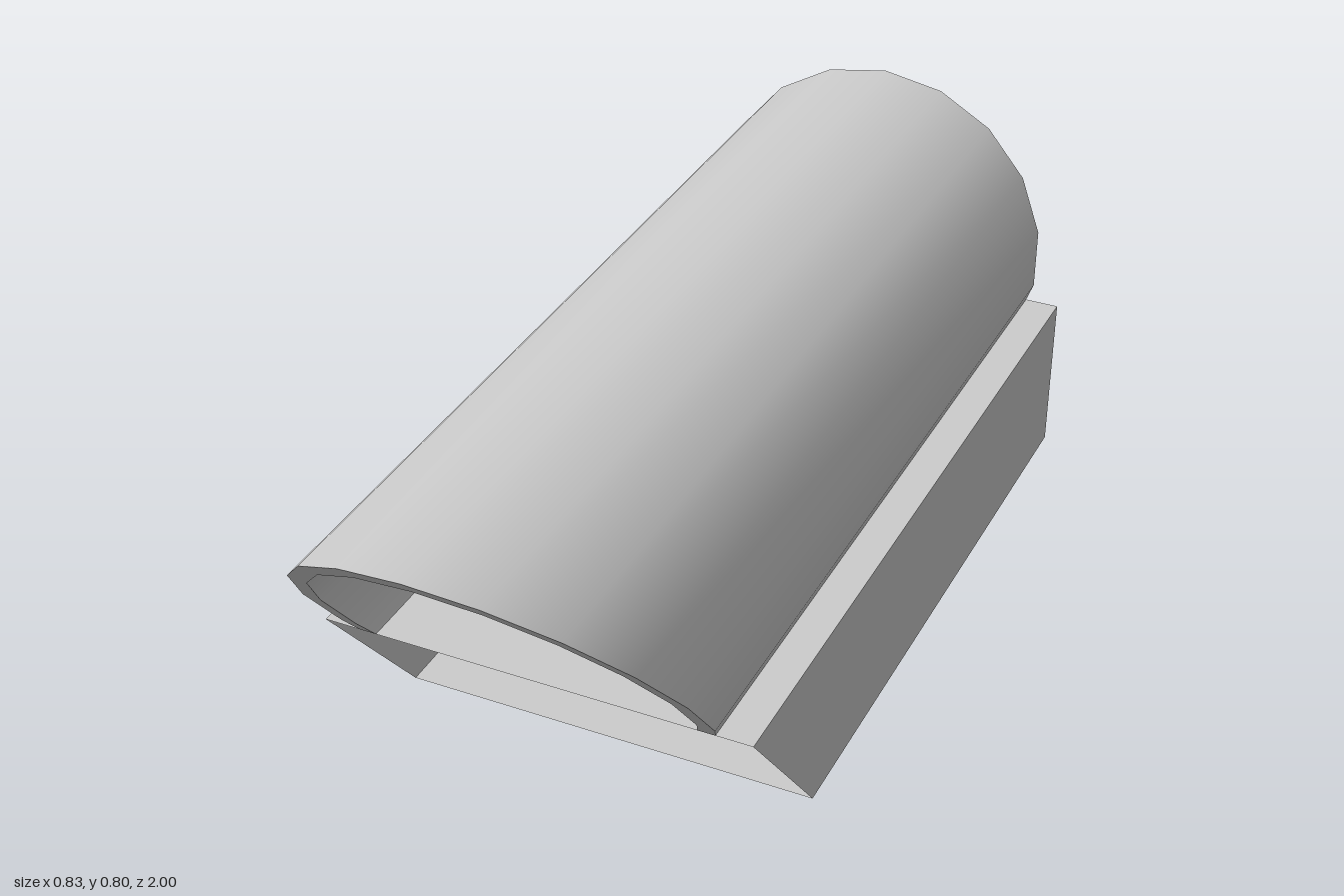
import * as THREE from 'three';

const BACK = -1, DECK = 0.333, HALF = 0.415;
const CENTRE = 0.435, OUTER = 0.365, INNER = 0.333;

// The sloping plane that trims the front of every part
const cutZ = (y) => 0.33 + 0.8375 * y;
const atFront = (row) => row.map(([x, y]) => [x, y, cutZ(y)]);
const atBack = (row) => row.map(([x, y]) => [x, y, BACK]);

// Ruled surface between two rows of points
function ruled(a, b, smooth) {
  const n = a.length, index = [];
  for (let i = 0; i < n - 1; i++) {
    index.push(i, i + 1, n + i + 1, i, n + i + 1, n + i);
  }
  let geo = new THREE.BufferGeometry();
  geo.setAttribute('position', new THREE.Float32BufferAttribute([...a, ...b].flat(), 3));
  geo.setIndex(index);
  if (!smooth) geo = geo.toNonIndexed();
  geo.computeVertexNormals();
  return geo;
}

// Arc of an 18-sided tube, left to right over the top, ending on the deck
function arch(r) {
  const at = (deg) => {
    const t = THREE.MathUtils.degToRad(deg);
    return [r * Math.sin(t), CENTRE + r * Math.cos(t)];
  };
  const half = [0, 20, 40, 60, 80, 100].map(at);
  const [p, q] = [at(100), at(120)];
  const f = (p[1] - DECK) / (p[1] - q[1]);
  half.push([p[0] + (q[0] - p[0]) * f, DECK]);
  const mirrored = half.slice(1).reverse().map(([x, y]) => [-x, y]);
  return [...mirrored, ...half];
}

export function createModel() {
  const model = new THREE.Group();
  const material = new THREE.MeshStandardMaterial({ color: 0xcccccc, side: THREE.DoubleSide });
  const add = (parent, name, geo) => {
    const mesh = new THREE.Mesh(geo, material);
    mesh.name = name;
    parent.add(mesh);
  };

  // Hollow base, open at the slanted front
  const base = new THREE.Group();
  base.name = 'base';
  const box = [[-HALF, 0], [-HALF, DECK], [HALF, DECK], [HALF, 0], [-HALF, 0]];
  add(base, 'baseShell', ruled(atFront(box), atBack(box), false));
  const top = [[-HALF, DECK], [HALF, DECK]], bottom = [[-HALF, 0], [HALF, 0]];
  add(base, 'baseBackWall', ruled(atBack(top), atBack(bottom), false));

  // Arched tunnel with a thin wall
  const tunnel = new THREE.Group();
  tunnel.name = 'tunnel';
  const outer = arch(OUTER), inner = arch(INNER);
  add(tunnel, 'tunnelOutside', ruled(atFront(outer), atBack(outer), true));
  add(tunnel, 'tunnelInside', ruled(atBack(inner), atFront(inner), true));
  add(tunnel, 'frontRim', ruled(atFront(inner), atFront(outer), false));
  add(tunnel, 'backRim', ruled(atBack(outer), atBack(inner), false));

  model.add(base, tunnel);
  return model;
}
